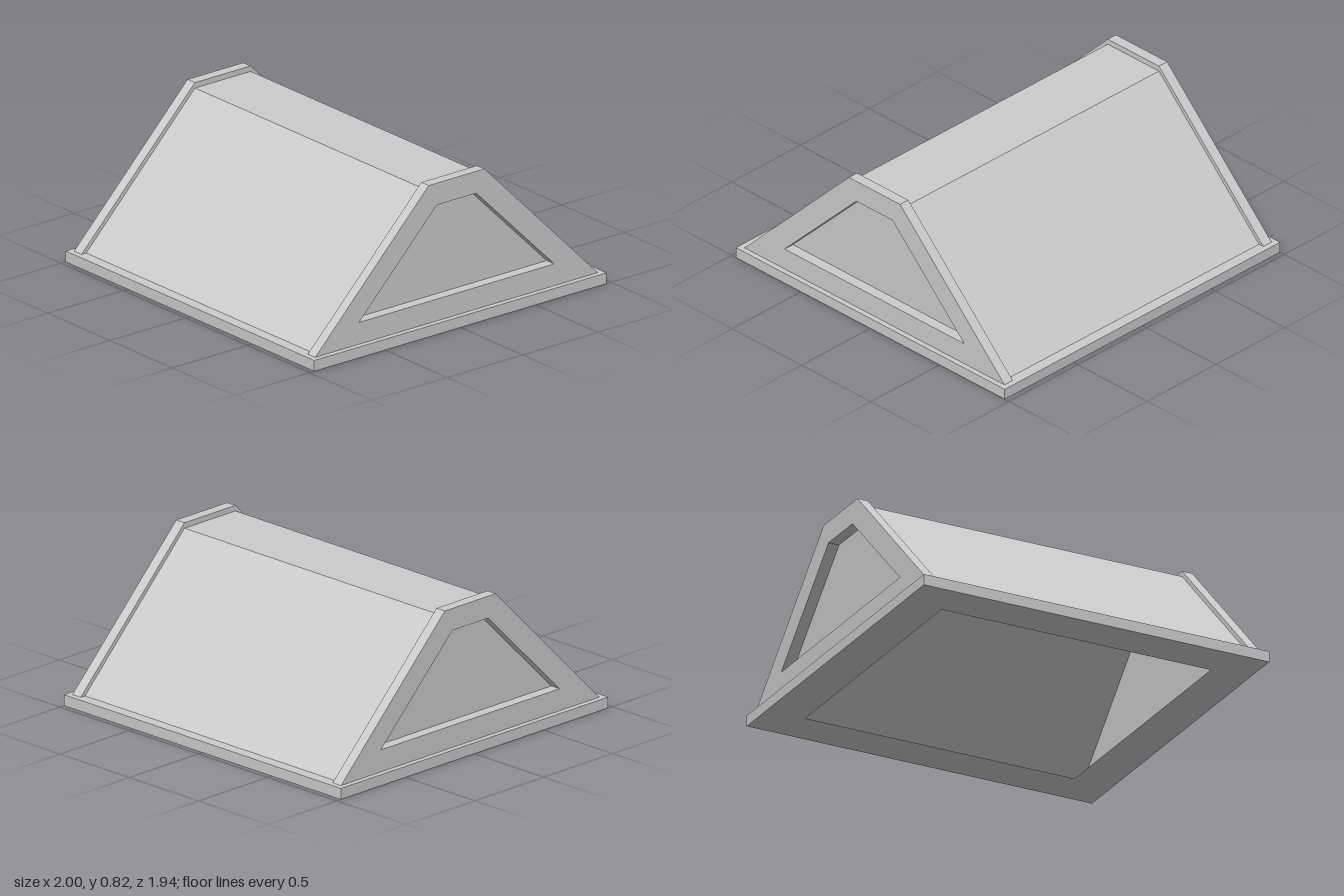
import * as THREE from 'three';

const grey = new THREE.MeshStandardMaterial({ color: 0xcccccc, flatShading: true });
const thinGrey = new THREE.MeshStandardMaterial({ color: 0xcccccc, flatShading: true, side: THREE.DoubleSide });

const toPoints = (pts) => pts.map(([z, y]) => new THREE.Vector2(z, y));

// Symmetric trapezoid outline in the z-y plane
const trapezoid = (z0, y0, z1, y1) => [[-z0, y0], [z0, y0], [z1, y1], [-z1, y1]];

// Thin open skin through rectangular rings [halfX, halfZ, y]
function skin(name, rings) {
  const corners = [[1, 1], [1, -1], [-1, -1], [-1, 1]];
  const point = ([hx, hz, y], i) => [corners[i % 4][0] * hx, y, corners[i % 4][1] * hz];
  const positions = [];
  for (let r = 0; r < rings.length - 1; r++) {
    for (let i = 0; i < 4; i++) {
      const a = point(rings[r], i), b = point(rings[r], i + 1);
      const c = point(rings[r + 1], i + 1), d = point(rings[r + 1], i);
      positions.push(...a, ...b, ...c, ...a, ...c, ...d);
    }
  }
  const geo = new THREE.BufferGeometry();
  geo.setAttribute('position', new THREE.Float32BufferAttribute(positions, 3));
  geo.computeVertexNormals();
  const mesh = new THREE.Mesh(geo, thinGrey);
  mesh.name = name;
  return mesh;
}

// Trapezoid frame with an opening, extruded along x from x0 to x1
function endFrame(name, x0, x1) {
  const shape = new THREE.Shape(toPoints(trapezoid(0.938, 0.06, 0.185, 0.817)));
  shape.holes.push(new THREE.Path(toPoints(trapezoid(0.648, 0.18, 0.13, 0.697))));
  const geo = new THREE.ExtrudeGeometry(shape, { depth: x1 - x0, bevelEnabled: false });
  geo.translate(0, 0, x0).rotateY(Math.PI / 2);
  const mesh = new THREE.Mesh(geo, grey);
  mesh.name = name;
  return mesh;
}

export function createModel() {
  const group = new THREE.Group();
  group.name = 'ridgeShelter';

  // Hollow plinth: underside rim, outer edge, and top ledge up to the body
  group.add(skin('base', [[0.78, 0.745, 0], [1, 0.97, 0], [1, 0.97, 0.06], [0.91, 0.907, 0.06]]));

  // Thin sloped walls and upright ends, open underneath
  group.add(skin('bodyWalls', [[0.91, 0.907, 0.06], [0.91, 0.185, 0.787]]));

  // Flat ridge closing the top
  const ridge = new THREE.Mesh(new THREE.PlaneGeometry(1.82, 0.37).rotateX(-Math.PI / 2), thinGrey);
  ridge.name = 'ridge';
  ridge.position.y = 0.787;
  group.add(ridge);

  // Raised frames around the recessed end panels
  group.add(endFrame('leftEndFrame', 0.91, 0.97), endFrame('rightEndFrame', -0.97, -0.91));
  return group;
}
